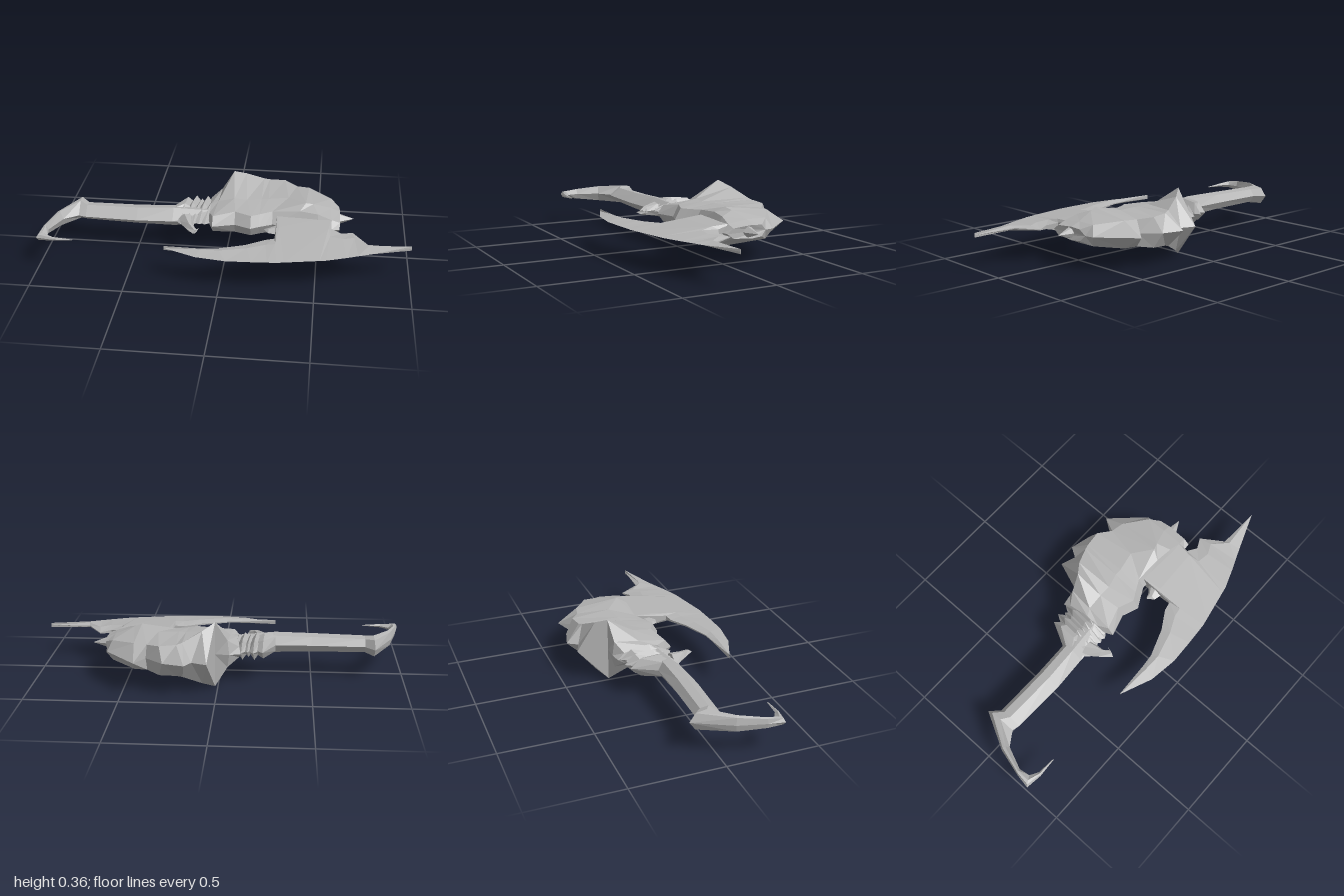
import * as THREE from 'three';

const MID = 0.18; // height of the symmetry plane

const metal = new THREE.MeshStandardMaterial({ color: 0xb4b4b4 });
metal.name = 'grey metal';

// Lofts rows of [x, z, halfHeight] points, mirrored about the middle plane.
// Each row runs from the left of the travel direction to its right.
function loft(name, rows) {
  const rings = rows.map((row) => [
    ...row.map(([x, z, h]) => new THREE.Vector3(x, MID + h, z)),
    ...row.map(([x, z, h]) => new THREE.Vector3(x, MID - h, z)).reverse(),
  ]);
  const pos = [];
  const tri = (a, b, c) => {
    if (new THREE.Triangle(a, b, c).getArea() < 1e-8) return;
    for (const p of [a, b, c]) pos.push(p.x, p.y, p.z);
  };
  const n = rings[0].length;
  for (let i = 0; i < rings.length - 1; i++) {
    for (let j = 0; j < n; j++) {
      const k = (j + 1) % n;
      const [a, b, c, d] = [rings[i][j], rings[i][k], rings[i + 1][k], rings[i + 1][j]];
      // the diagonal is swapped so both halves match
      if (j < n / 2) { tri(a, b, d); tri(b, c, d); }
      else { tri(a, b, c); tri(a, c, d); }
    }
  }
  const first = rings[0], last = rings[rings.length - 1];
  for (let j = 1; j < n - 1; j++) {
    tri(first[0], first[j + 1], first[j]);
    tri(last[0], last[j], last[j + 1]);
  }
  const geo = new THREE.BufferGeometry();
  geo.setAttribute('position', new THREE.Float32BufferAttribute(pos, 3));
  geo.computeVertexNormals();
  const mesh = new THREE.Mesh(geo, metal);
  mesh.name = name;
  return mesh;
}

// Faceted bar section between a left and a right edge point
function bar([lx, lz, rx, rz, h]) {
  const at = (t, k) => [lx + (rx - lx) * t, lz + (rz - lz) * t, h * k];
  return [at(0, 0), at(0.2, 0.85), at(0.55, 1), at(1, 0)];
}

// Head section: back rim, back shoulder, ridge, then a front lip set in from the front rim
function headSection([bx, bz, sx, sz, sh, rx, rz, rh, fx, fz]) {
  return [[bx, bz, 0], [sx, sz, sh], [rx, rz, rh], [fx, fz - 0.035, rh * 0.75], [fx, fz, 0]];
}

// Blade section: back edge of half thickness h, bevel line, sharp cutting edge
function bladeSection([bx, bz, h, ex, ez]) {
  const t = 0.3;
  return [[bx, bz, h], [bx + (ex - bx) * t, bz + (ez - bz) * t, h * 0.5 + 0.012], [ex, ez, 0]];
}

export function createModel() {
  const group = new THREE.Group();
  group.name = 'axe';
  const add = (name, rows) => group.add(loft(name, rows));

  // Handle with hooked pommel, from the hook tip to the head
  add('handle', [
    [-0.8, 0.31, -0.8, 0.305, 0.002],
    [-0.91, 0.317, -0.9, 0.297, 0.01],
    [-1, 0.305, -0.945, 0.27, 0.02],
    [-0.985, 0.22, -0.955, 0.21, 0.03],
    [-0.945, 0.07, -0.905, 0.09, 0.045],
    [-0.84, -0.13, -0.83, 0.04, 0.054],
    [-0.79, -0.08, -0.79, 0.05, 0.044],
    [-0.5, -0.075, -0.5, 0.06, 0.049],
    [-0.3, -0.08, -0.3, 0.05, 0.055],
    [-0.1, -0.12, -0.1, 0.05, 0.04],
  ].map(bar));

  // Flared collar where the handle meets the bindings
  add('collar', [
    [-0.31, -0.07, -0.29, 0.03, 0.05],
    [-0.235, -0.21, -0.25, 0.075, 0.06],
    [-0.195, -0.17, -0.18, 0.05, 0.035],
  ].map(bar));

  // Claw below the collar
  add('collarClaw', [
    [-0.18, 0.02, -0.28, 0.03, 0.04],
    [-0.175, 0.1, -0.22, 0.11, 0.026],
    [-0.15, 0.13, -0.17, 0.17, 0.01],
    [-0.145, 0.105, -0.146, 0.11, 0.001],
  ].map(bar));

  // Slanted bindings, alternately tall and short
  for (let i = 0; i < 4; i++) {
    const x = -0.185 + i * 0.032;
    const short = (i % 2) * 0.02;
    add('binding' + (i + 1), [-1, 0, 1].map((s) => {
      const inset = Math.abs(s) * 0.03;
      return bar([x + s * 0.02, -0.225 + short + inset, x - 0.03 + s * 0.025, 0.065 - inset * 0.6,
        0.066 - short * 0.6 - inset]);
    }));
  }

  // Faceted head
  add('head', [
    [-0.12, -0.24, -0.11, -0.2, 0.03, -0.1, -0.08, 0.05, -0.1, 0.03],
    [-0.06, -0.25, -0.05, -0.235, 0.075, -0.06, -0.1, 0.062, -0.075, 0.085],
    [0.015, -0.25, 0.015, -0.25, 0.18, 0.03, -0.1, 0.085, 0.045, 0.05],
    [0.05, -0.415, 0.08, -0.3, 0.145, 0.1, -0.1, 0.08, 0.135, 0.085],
    [0.13, -0.385, 0.18, -0.345, 0.095, 0.18, -0.12, 0.08, 0.18, 0.06],
    [0.165, -0.44, 0.21, -0.355, 0.086, 0.22, -0.12, 0.082, 0.21, 0.045],
    [0.28, -0.41, 0.3, -0.365, 0.08, 0.33, -0.14, 0.085, 0.25, 0.025],
    [0.375, -0.33, 0.37, -0.315, 0.07, 0.43, -0.055, 0.102, 0.4, 0.03],
    [0.43, -0.415, 0.44, -0.3, 0.072, 0.47, -0.07, 0.09, 0.5, 0.04],
    [0.595, -0.24, 0.57, -0.21, 0.055, 0.57, -0.1, 0.056, 0.575, 0.05],
    [0.605, -0.19, 0.615, -0.16, 0.03, 0.62, -0.1, 0.035, 0.62, 0.045],
  ].map(headSection));

  // Small spike on the end of the head
  add('endSpike', [
    [0.6, -0.11, 0.6, -0.04, 0.035],
    [0.695, -0.091, 0.695, -0.089, 0.001],
  ].map(bar));

  // Crescent blade and neck
  add('blade', [
    [-0.3, 0.335, 0, -0.3, 0.337],
    [-0.1, 0.325, 0.002, -0.125, 0.41],
    [-0.025, 0.318, 0.003, 0.035, 0.433],
    [0.125, 0.265, 0.004, 0.17, 0.428],
    [0.225, 0.205, 0.006, 0.25, 0.423],
    [0.275, 0.195, 0.012, 0.3, 0.42],
    [0.275, -0.02, 0.045, 0.34, 0.412],
    [0.575, -0.02, 0.045, 0.52, 0.377],
    [0.575, 0.07, 0.02, 0.555, 0.37],
    [0.63, 0.1, 0.01, 0.66, 0.332],
    [0.69, 0.07, 0.002, 0.72, 0.308],
    [0.77, 0.19, 0.003, 0.79, 0.28],
    [1, 0.199, 0, 1, 0.201],
  ].map(bladeSection));

  // Barb on the neck
  add('neckBarb', [
    [0.212, 0.08, 0.212, 0.086, 0.002],
    [0.24, 0.07, 0.235, 0.12, 0.012],
    [0.3, 0.02, 0.3, 0.135, 0.025],
  ].map(bar));

  return group;
}
